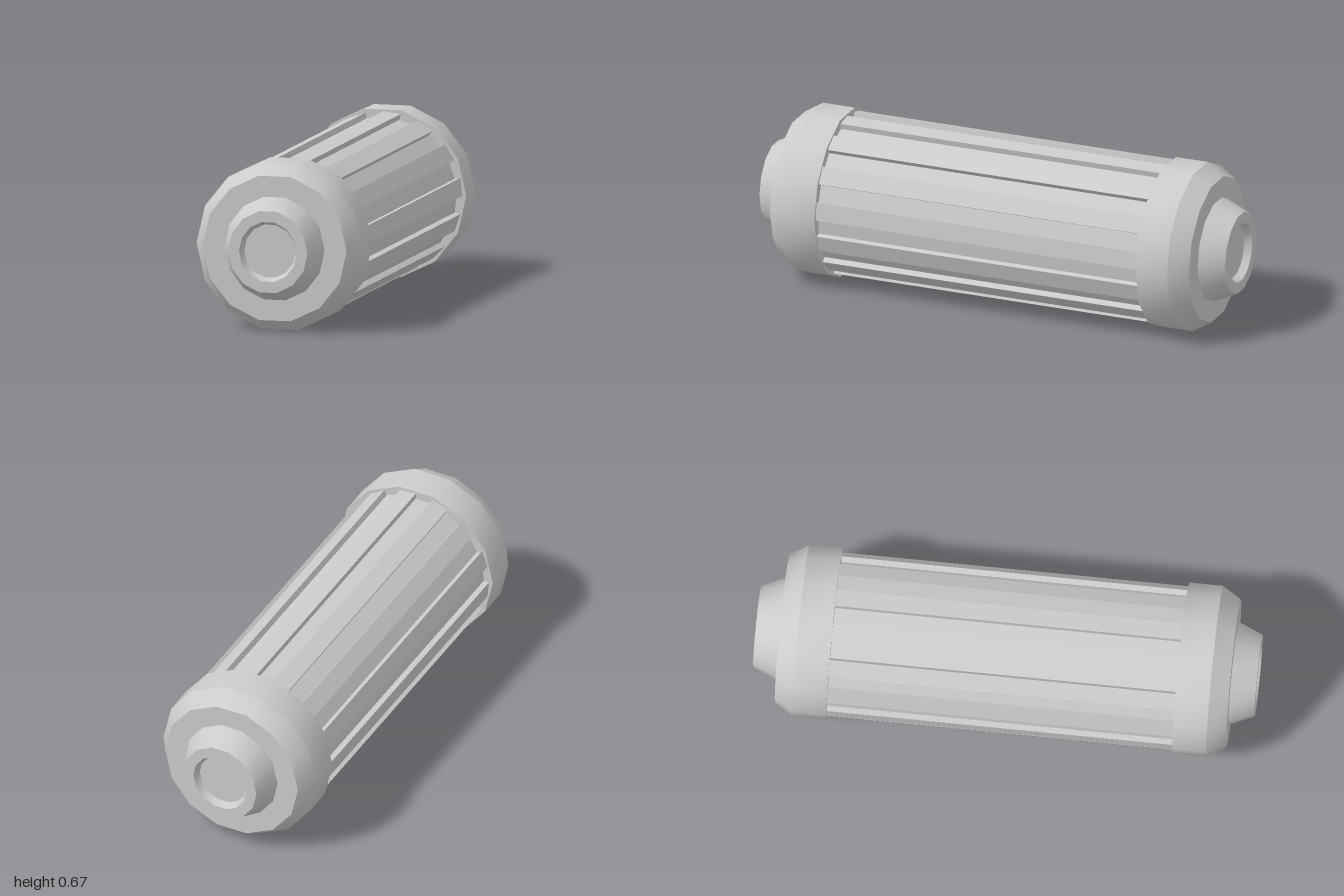
import * as THREE from 'three';
import { toCreasedNormals } from 'three/addons/utils/BufferGeometryUtils.js';

const SIDES = 14;
const CENTER_Y = 0.334;
const material = new THREE.MeshStandardMaterial({ color: 0xcccccc });

// Fourteen-sided turned part along z, smooth around and sharp between bands
function turned(name, profile) {
  const points = profile.map(([r, z]) => new THREE.Vector2(r, z));
  const geometry = new THREE.LatheGeometry(points, SIDES, Math.PI / 2);
  geometry.rotateX(Math.PI / 2);
  const mesh = new THREE.Mesh(toCreasedNormals(geometry, 0.5), material);
  mesh.name = name;
  return mesh;
}

// End cap with a tapered neck and a shallow recess
function endCap(name) {
  const cap = new THREE.Group();
  cap.name = name;
  const collar = turned('collar', [
    [0.2, 0.69], [0.3425, 0.69], [0.3425, 0.825], [0.2965, 0.9], [0.18, 0.9],
  ]);
  const neck = turned('neck', [
    [0.211, 0.9], [0.167, 1], [0.122, 1], [0.108, 0.97], [0, 0.97],
  ]);
  neck.scale.x = 0.975;
  cap.add(collar, neck);
  return cap;
}

// Barrel with alternating raised ribs and grooves, half a sector each
function ribbedBarrel() {
  const ribRadius = 0.327, grooveRadius = 0.303, length = 1.4;
  const step = Math.PI / SIDES;
  const shape = new THREE.Shape();
  for (let i = 0; i < SIDES * 2; i++) {
    const r = i % 2 === 0 ? ribRadius : grooveRadius;
    for (const a of [i * step, (i + 1) * step]) {
      const x = r * Math.cos(a), y = r * Math.sin(a);
      if (i === 0 && a === 0) shape.moveTo(x, y);
      else shape.lineTo(x, y);
    }
  }
  shape.closePath();
  const geometry = new THREE.ExtrudeGeometry(shape, { depth: length, bevelEnabled: false });
  geometry.translate(0, 0, -length / 2);
  const mesh = new THREE.Mesh(geometry, material);
  mesh.name = 'ribbedBarrel';
  return mesh;
}

export function createModel() {
  const model = new THREE.Group();
  model.name = 'ribbedCartridge';
  const front = endCap('frontCap');
  const back = endCap('backCap');
  back.rotation.y = Math.PI;
  model.add(ribbedBarrel(), front, back);
  for (const part of model.children) part.position.y = CENTER_Y;
  return model;
}
